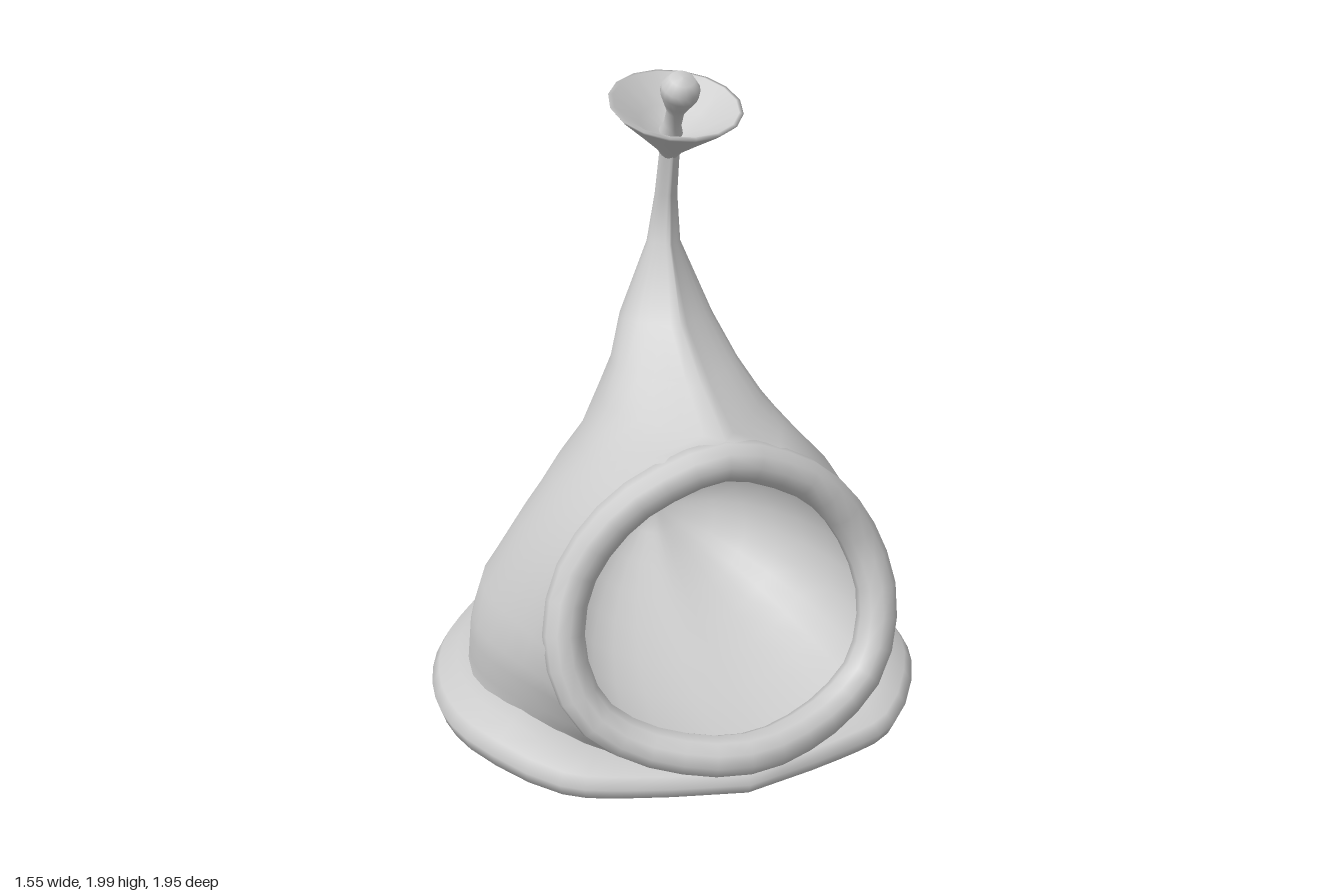
import * as THREE from 'three';
import { mergeVertices } from 'three/addons/utils/BufferGeometryUtils.js';

const V = (x, y, z) => new THREE.Vector3(x, y, z);
const smooth = (pts, n) => new THREE.CatmullRomCurve3(pts).getPoints(n);

// Follow half a path on the +x side, then its mirror image
const mirrored = (half) => [
  ...half,
  ...half.slice(0, -1).reverse().map((p) => V(-p.x, p.y, p.z)),
];

// Skin a list of equally long rows, welded so that it shades smoothly
function loft(rows) {
  const n = rows[0].length, pos = [], index = [];
  rows.forEach((row) => row.forEach((p) => pos.push(p.x, p.y, p.z)));
  for (let r = 0; r < rows.length - 1; r++) {
    for (let i = 0; i < n - 1; i++) {
      const a = r * n + i, b = a + n;
      index.push(a, a + 1, b + 1, a, b + 1, b);
    }
  }
  const g = new THREE.BufferGeometry();
  g.setAttribute('position', new THREE.Float32BufferAttribute(pos, 3));
  g.setIndex(index);
  const welded = mergeVertices(g, 1e-4);
  welded.computeVertexNormals();
  return welded;
}

export function createModel() {
  const group = new THREE.Group();
  const mat = new THREE.MeshStandardMaterial({ color: 0xcccccc, side: THREE.DoubleSide });
  const add = (name, geometry) => {
    const mesh = new THREE.Mesh(geometry, mat);
    mesh.name = name;
    group.add(mesh);
    return mesh;
  };

  // Body: y, front edge x z, widest point x z, rear quarter x z, back z.
  // Rows with a front edge off the centre line leave the mouth open.
  const sections = [
    [0.1, 0.25, 0.82, 0.67, 0.28, 0.38, -0.36, -0.6],
    [0.17, 0.36, 0.81, 0.66, 0.28, 0.38, -0.37, -0.64],
    [0.225, 0.42, 0.79, 0.66, 0.28, 0.36, -0.37, -0.66],
    [0.31, 0.485, 0.76, 0.66, 0.27, 0.31, -0.36, -0.65],
    [0.37, 0.51, 0.75, 0.65, 0.26, 0.31, -0.27, -0.47],
    [0.49, 0.535, 0.72, 0.615, 0.25, 0.3, -0.17, -0.34],
    [0.69, 0.48, 0.68, 0.505, 0.3, 0.29, -0.01, -0.12],
    [0.84, 0.38, 0.67, 0.41, 0.35, 0.25, 0.05, -0.06],
    [0.93, 0.27, 0.68, 0.33, 0.38, 0.21, 0.08, -0.04],
    [0.99, 0.17, 0.69, 0.28, 0.37, 0.19, 0.08, -0.03],
    [1.04, 0, 0.7, 0.24, 0.36, 0.17, 0.08, -0.02],
    [1.13, 0, 0.5, 0.19, 0.28, 0.13, 0.08, -0.01],
    [1.25, 0, 0.31, 0.14, 0.19, 0.1, 0.06, 0],
    [1.47, 0, 0.2, 0.05, 0.15, 0.04, 0.11, 0.09],
    [1.62, 0, 0.2, 0.033, 0.17, 0.025, 0.14, 0.13],
    [1.76, 0, 0.225, 0.03, 0.2, 0.02, 0.175, 0.165],
  ];
  add('body', loft(sections.map(([y, ax, az, bx, bz, cx, cz, dz]) =>
    smooth(mirrored([V(ax, y, az), V(bx, y, bz), V(cx, y, cz), V(0, y, dz)]), 36))));

  // Rolled rim round the mouth, pushed forward into a lip at the bottom
  const rimPath = mirrored([
    V(0, 0.98, 0.69), V(0.17, 0.93, 0.68), V(0.31, 0.84, 0.67), V(0.435, 0.67, 0.67),
    V(0.48, 0.49, 0.72), V(0.43, 0.31, 0.78), V(0.31, 0.215, 0.83), V(0.13, 0.168, 0.89),
    V(0, 0.16, 0.91),
  ]).slice(0, -1);
  const rimCurve = new THREE.CatmullRomCurve3(rimPath, true);
  add('mouthRim', new THREE.TubeGeometry(rimCurve, 32, 0.06, 10, true));

  // Rounded hollow behind the rim
  const edge = rimCurve.getPoints(32);
  const hollow = [];
  for (let k = 0; k <= 8; k++) {
    const a = (k / 8) * Math.PI / 2, s = Math.cos(a);
    hollow.push(edge.map((p) => V(p.x * s, 0.57 + (p.y - 0.57) * s,
      0.74 + (p.z - 0.74) * s - 0.66 * Math.sin(a))));
  }
  add('mouthHollow', loft(hollow));

  // Brim: teardrop outline rolled at the edge, lifted at the tail, thinner at the front
  const outline = smooth(mirrored([
    [0, 0.95], [0.32, 0.88], [0.52, 0.8], [0.73, 0.5], [0.775, 0.25], [0.72, -0.02], [0.58, -0.25],
    [0.47, -0.38], [0.36, -0.47], [0.19, -0.7], [0.07, -0.94], [0, -0.98],
  ].map(([x, z]) => V(x, 0, z))), 66);
  // Scale, its change at the tail, height, lift at the tail, drop at the front
  const roll = [
    [0, 0, 0.005, 0, 0], [0.7, -0.1, 0.005, 0, 0], [0.92, -0.12, 0.02, 0.01, 0],
    [0.98, -0.03, 0.055, 0.06, 0.01], [1, 0, 0.1, 0.09, 0.02], [0.97, 0, 0.135, 0.09, 0.03],
    [0.89, 0, 0.165, 0.105, 0.05], [0.83, 0, 0.185, 0.11, 0.08], [0.7, 0, 0.19, 0.115, 0.08],
  ];
  add('brim', loft(roll.map(([scale, dScale, y, tailLift, drop]) => outline.map((p) => {
    const tail = Math.max(0, (-p.z - 0.3) / 0.68), front = Math.max(0, (p.z - 0.6) / 0.35);
    const s = scale + dScale * tail;
    return V(p.x * s, y + tailLift * tail - drop * front, 0.1 + (p.z - 0.1) * s);
  }))));

  // Tilted dish and knob on the tip
  const turned = (name, profile, y, z, tilt) => {
    const mesh = add(name, new THREE.LatheGeometry(profile.map(([r, h]) => new THREE.Vector2(r, h)), 16));
    mesh.position.set(0, y, z);
    mesh.rotation.x = tilt;
  };
  turned('dish', [[0.024, -0.17], [0.04, -0.145], [0.11, -0.08], [0.185, -0.012], [0.195, 0],
    [0.182, 0.002], [0.1, -0.06], [0.03, -0.1], [0, -0.105]], 1.9, 0.25, 0.36);
  turned('knob', [[0.04, -0.02], [0.026, 0.02], [0.026, 0.07], [0.04, 0.1], [0.056, 0.135],
    [0.056, 0.16], [0.036, 0.188], [0, 0.192]], 1.82, 0.21, 0.55);

  return group;
}
